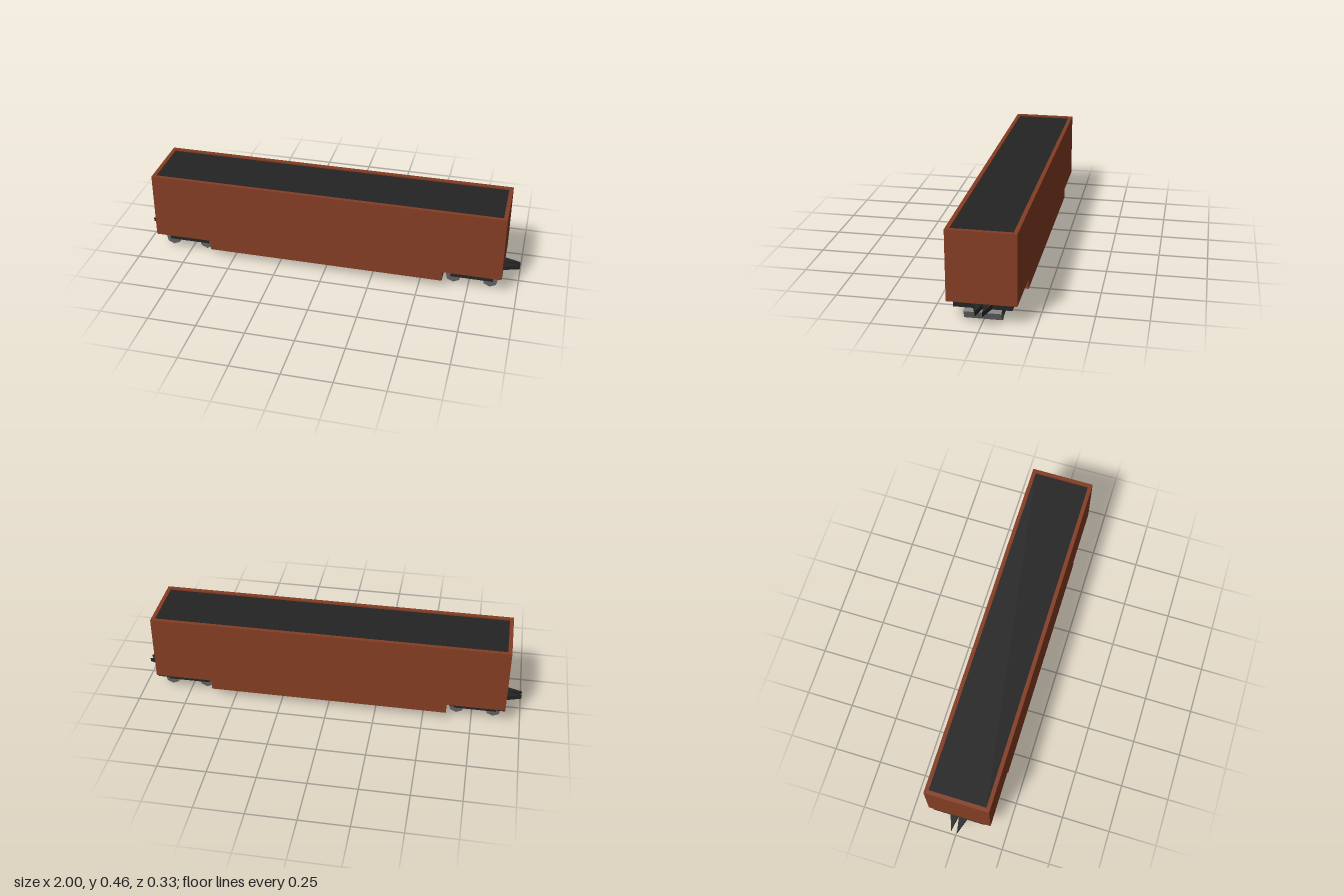
import * as THREE from 'three';

const rust = new THREE.MeshStandardMaterial({ color: 0x843d23 });
rust.name = 'rust';
const black = new THREE.MeshStandardMaterial({ color: 0x242424 });
black.name = 'black';
const steel = new THREE.MeshStandardMaterial({ color: 0x606060, flatShading: true });
steel.name = 'steel';

function add(parent, name, geometry, material) {
  const mesh = new THREE.Mesh(geometry, material);
  mesh.name = name;
  parent.add(mesh);
  return mesh;
}

// Box given by its lower and upper corners
function box(x0, x1, y0, y1, z0, z1) {
  return new THREE.BoxGeometry(x1 - x0, y1 - y0, z1 - z0)
    .translate((x0 + x1) / 2, (y0 + y1) / 2, (z0 + z1) / 2);
}

// Plan outline (x, -z) raised from y0 to y1
function slab(shape, y0, y1) {
  return new THREE.ExtrudeGeometry(shape, { depth: y1 - y0, bevelEnabled: false })
    .rotateX(-Math.PI / 2).translate(0, y0, 0);
}

const outline = (points) => new THREE.Shape(points.map(([x, y]) => new THREE.Vector2(x, y)));
const rectangle = (w, h) => [[-w, -h], [w, -h], [w, h], [-w, h]];

function createTruck(side) {
  const truck = new THREE.Group();
  truck.name = side > 0 ? 'leftTruck' : 'rightTruck';
  const span = (a, b) => (side > 0 ? [a, b] : [-b, -a]);

  add(truck, 'deckPlate', box(...span(0.635, 0.919), 0.08, 0.102, -0.142, 0.132), black);
  add(truck, 'truckFrame', box(...span(0.655, 0.875), 0.034, 0.068, -0.095, 0.092), black);

  // Seven-sided wheel rollers with a corner at the bottom
  for (const x of [0.67, 0.86]) {
    const wheel = add(truck, 'wheels',
      new THREE.CylinderGeometry(0.04, 0.04, 0.176, 7).rotateX(Math.PI / 2), steel);
    wheel.position.set(side * x, 0.04, 0);
  }

  // Pair of pointed coupler prongs: base edge, tip, base edge in z
  for (const [a, tip, b] of [[0.042, 0.012, -0.006], [-0.006, -0.021, -0.051]]) {
    const prong = outline([[side * 0.91, -a], [side, -tip], [side * 0.91, -b]]);
    add(truck, 'couplerProng', slab(prong, 0.08, 0.102), black);
  }
  return truck;
}

export function createModel() {
  const model = new THREE.Group();
  model.name = 'hopperWagon';

  // Deep-bellied body, notched above the trucks
  const profile = outline([
    [-0.62, 0.05], [0.62, 0.05], [0.62, 0.103], [0.92, 0.103],
    [0.92, 0.444], [-0.92, 0.444], [-0.92, 0.103], [-0.62, 0.103],
  ]);
  add(model, 'body', new THREE.ExtrudeGeometry(profile, { depth: 0.33, bevelEnabled: false })
    .translate(0, 0, -0.165), rust);

  // Raised rim around the load
  const rim = outline(rectangle(0.92, 0.165));
  rim.holes.push(outline(rectangle(0.9, 0.145)));
  add(model, 'rim', slab(rim, 0.444, 0.455), rust);
  add(model, 'load', box(-0.9, 0.9, 0.442, 0.447, -0.145, 0.145), black);

  for (const side of [-1, 1]) model.add(createTruck(side));
  return model;
}
